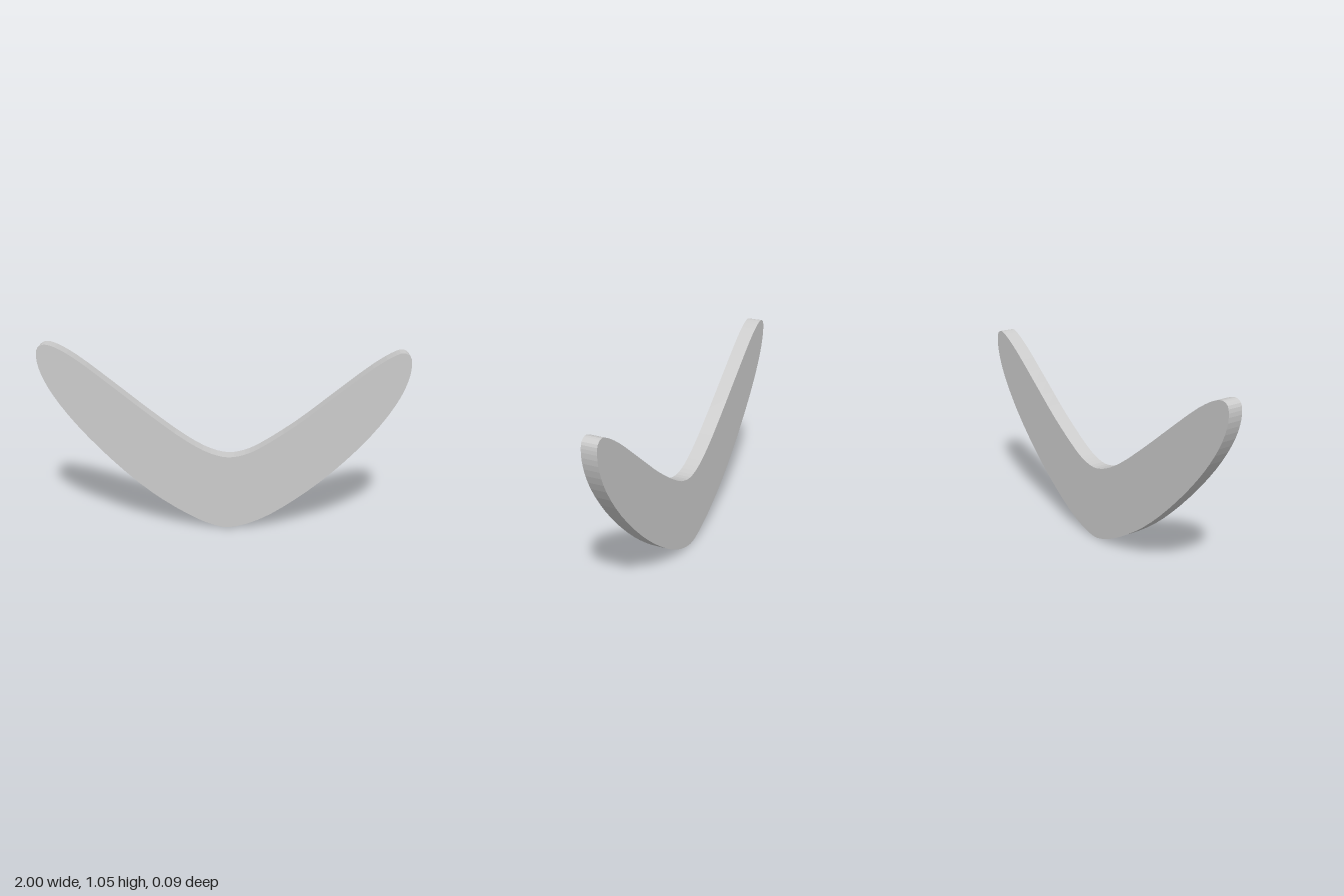
import * as THREE from 'three';

// Outline points, counter-clockwise from the bottom of the elbow
const OUTLINE = [
  [0.03, 0], [0.2, 0.05], [0.4, 0.175], [0.6, 0.34], [0.8, 0.55], [0.93, 0.735],
  [0.985, 0.86], [1, 0.95], [0.99, 1.0], [0.955, 1.018], [0.9, 0.998], [0.8, 0.933],
  [0.6, 0.772], [0.4, 0.61], [0.2, 0.475], [0.12, 0.437], [0.03, 0.42], [-0.07, 0.442],
  [-0.2, 0.512], [-0.4, 0.66], [-0.6, 0.82], [-0.8, 0.975], [-0.9, 1.033],
  [-0.955, 1.047], [-0.99, 1.03], [-1, 0.975], [-0.98, 0.885], [-0.92, 0.765],
  [-0.8, 0.6], [-0.6, 0.385], [-0.4, 0.21], [-0.2, 0.08], [-0.07, 0.02],
];
const THICKNESS = 0.085;

export function createModel() {
  const group = new THREE.Group();

  // Smooth closed curve through the outline
  const curve = new THREE.CatmullRomCurve3(
    OUTLINE.map(([x, y]) => new THREE.Vector3(x, y, 0)), true, 'centripetal');
  const points = curve.getPoints(OUTLINE.length * 3).slice(0, -1);
  const shape = new THREE.Shape(points.map((p) => new THREE.Vector2(p.x, p.y)));

  // Flat slab with square edges, centred on z = 0
  const geometry = new THREE.ExtrudeGeometry(shape, { depth: THICKNESS, bevelEnabled: false });
  geometry.translate(0, 0, -THICKNESS / 2);

  const blade = new THREE.Mesh(geometry, new THREE.MeshStandardMaterial({ color: 0xcccccc }));
  blade.name = 'boomerangBlade';
  group.add(blade);
  return group;
}
